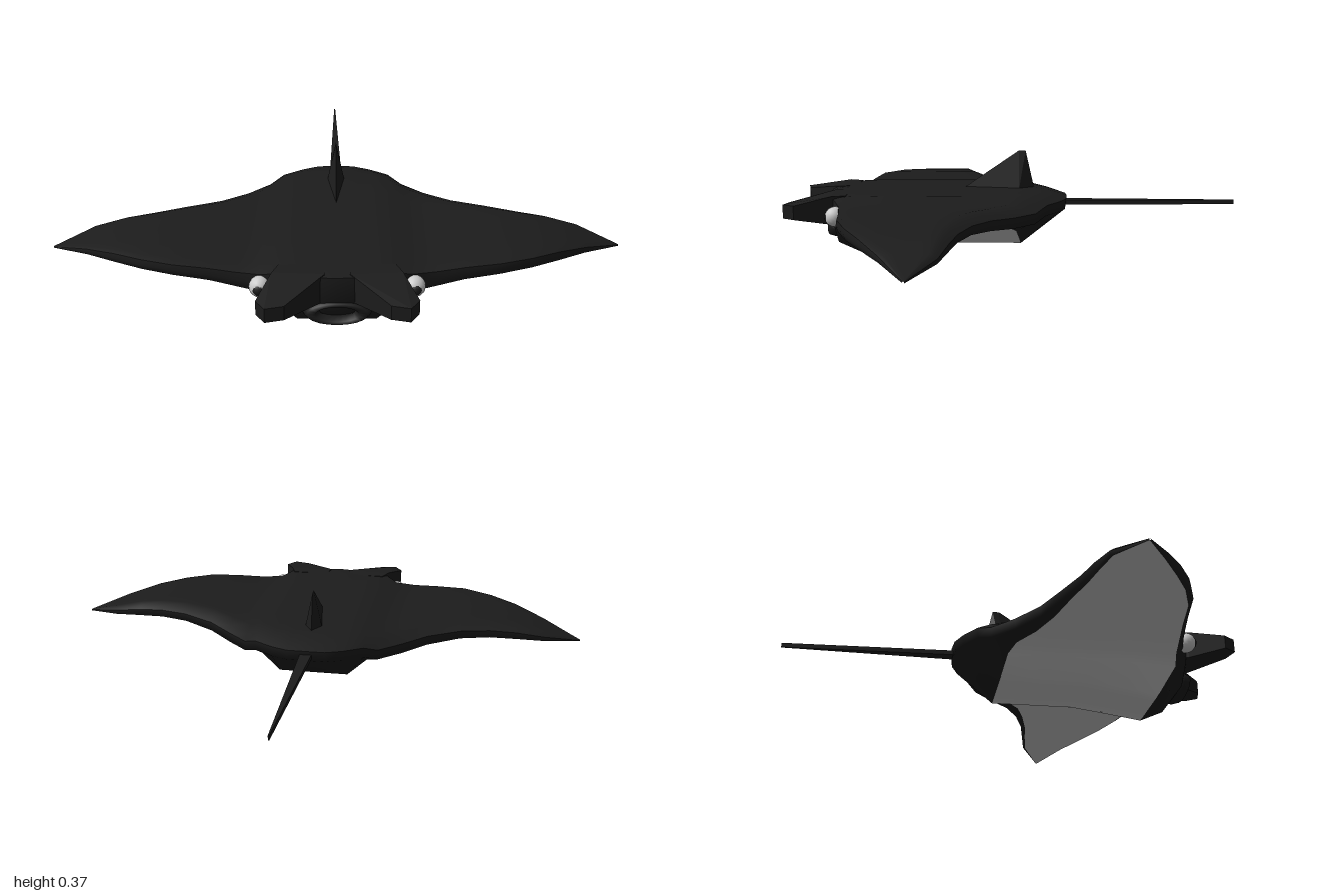
import * as THREE from 'three';
import { ConvexGeometry } from 'three/addons/geometries/ConvexGeometry.js';

const dark = new THREE.MeshStandardMaterial({ color: 0x1c1c1c });
const pale = new THREE.MeshStandardMaterial({ color: 0xcccccc });
const lerp = THREE.MathUtils.lerp;

// Half-span stations: x, front z, back z, top y, wing underside y, rear inset, belly weight
const STATIONS = [
  [0, 0.68, -0.2, 0.238, 0.14, 0.17, 1],
  [0.07, 0.675, -0.195, 0.236, 0.14, 0.165, 1],
  [0.13, 0.66, -0.17, 0.235, 0.14, 0.14, 1],
  [0.2, 0.645, -0.125, 0.234, 0.14, 0.12, 0.35],
  [0.25, 0.615, -0.085, 0.213, 0.14, 0.1, 0.12],
  [0.33, 0.598, -0.01, 0.212, 0.14, 0.08, 0.03],
  [0.42, 0.583, 0.065, 0.217, 0.152, 0.05, 0],
  [0.54, 0.565, 0.122, 0.219, 0.163, 0.03, 0],
  [0.65, 0.52, 0.16, 0.212, 0.16, 0.02, 0],
  [0.75, 0.46, 0.18, 0.2, 0.152, 0.015, 0],
  [0.86, 0.385, 0.203, 0.172, 0.142, 0.01, 0],
  [1, 0.29, 0.286, 0.124, 0.118, 0, 0],
];
const SPAN = [
  ...STATIONS.slice(1).reverse().map(([x, ...rest]) => [-x, ...rest]),
  ...STATIONS,
];

// Skin through one row of points per station
function loft(rowOf) {
  const rows = SPAN.map(rowOf);
  const n = rows[0].length;
  const index = [];
  for (let i = 0; i < rows.length - 1; i++) {
    for (let j = 0; j < n - 1; j++) {
      const a = i * n + j, b = a + n;
      index.push(a, a + 1, b, b, a + 1, b + 1);
    }
  }
  const g = new THREE.BufferGeometry();
  g.setAttribute('position', new THREE.Float32BufferAttribute(rows.flat(2), 3));
  g.setIndex(index);
  g.computeVertexNormals();
  return g;
}

// Back: from the trailing edge forward to the leading edge
const BACK = [[0, 0.032], [0.06, 0.015], [0.14, 0], [0.28, 0], [0.5, 0], [0.75, 0], [0.92, 0.003], [1, 0.01]];
const backRow = ([x, zF, zB, top, bot]) => {
  const s = Math.min(1, (top - bot) / 0.07);
  return BACK.map(([t, drop]) => [x, top - drop * s, lerp(zB, zF, t)]);
};

// Leading edge and chin: down from the back to the belly
const frontRow = ([x, zF, , top, bot, , w]) => {
  const s = Math.min(1, (top - bot) / 0.07);
  return [
    [x, top - 0.01 * s, zF],
    [x, lerp((top + bot) / 2, 0.14, w), zF + 0.003],
    [x, lerp(bot + 0.01 * s, 0.05, w), lerp(zF - 0.005 * s, 0.64, w)],
    [x, lerp(bot, 0.01, w), lerp(zF - 0.02 * s, 0.55, w)],
  ];
};

// Belly and wing undersides, front to rear: [fraction, middle z, middle y]
const BELLY = [[0, 0.55, 0.01], [0.22, 0.42, 0.03], [0.46, 0.28, 0.05], [0.74, 0.12, 0.05], [1, -0.03, 0.05]];
const bellyRow = ([x, zF, zB, top, bot, inset, w]) => {
  const s = Math.min(1, (top - bot) / 0.07);
  return BELLY.map(([t, z, y]) => [x, lerp(bot, y, w), lerp(lerp(zF - 0.02 * s, zB + inset, t), z, w)]);
};

// Rear: from the belly up to the trailing edge
const rearRow = (st) => {
  const [x, , zB, top, bot] = st;
  const s = Math.min(1, (top - bot) / 0.07);
  return [bellyRow(st).at(-1), [x, top - 0.07 * s, zB + 0.004 * s], [x, top - 0.032 * s, zB]];
};

// Horn-like head fin: flat plate that thickens toward the head
function headFinGeometry() {
  const outline = [[0.04, 0.66], [0.1, 0.73], [0.165, 0.805], [0.225, 0.82], [0.255, 0.775], [0.21, 0.65], [0.19, 0.6], [0.05, 0.6]];
  const points = [];
  for (const [x, z] of outline) {
    const k = THREE.MathUtils.clamp((0.74 - z) / 0.08, 0, 1);
    points.push(new THREE.Vector3(x, 0.205 + 0.027 * k, z), new THREE.Vector3(x, 0.155 - 0.025 * k, z));
  }
  return new ConvexGeometry(points);
}

export function createModel() {
  const model = new THREE.Group();
  const add = (name, geometry, material, parent = model) => {
    const mesh = new THREE.Mesh(geometry, material);
    mesh.name = name;
    parent.add(mesh);
    return mesh;
  };

  add('back', loft(backRow), dark);
  add('leadingEdge', loft(frontRow), dark);
  add('belly', loft(bellyRow), pale);
  add('rear', loft(rearRow), dark);

  // Lips around the wide mouth
  const lips = add('lips', new THREE.TorusGeometry(0.085, 0.028, 6, 20), dark);
  lips.scale.set(1, 0.4, 1);
  lips.position.set(0, 0.095, 0.662);

  // Dorsal fin
  const fin = [[0, 0.238, 0.18], [0.033, 0.225, -0.02], [-0.033, 0.225, -0.02], [0, 0.22, -0.08], [0, 0.375, -0.02], [0, 0.375, -0.045]];
  add('dorsalFin', new ConvexGeometry(fin.map((p) => new THREE.Vector3(...p))), dark);

  // Whip tail, narrowing toward its end
  const tail = new THREE.BoxGeometry(0.044, 0.017, 0.645);
  const p = tail.attributes.position;
  for (let i = 0; i < p.count; i++) if (p.getZ(i) < 0) p.setX(i, p.getX(i) * 0.1);
  tail.computeVertexNormals();
  add('tail', tail, dark).position.set(0, 0.183, -0.5025);

  // Eyes and head fins on both sides
  for (const side of [1, -1]) {
    const name = side > 0 ? 'left' : 'right';
    add(name + 'Eye', new THREE.SphereGeometry(0.036, 16, 12), pale).position.set(side * 0.25, 0.167, 0.628);
    add(name + 'Pupil', new THREE.SphereGeometry(0.024, 12, 8), dark).position.set(side * 0.252, 0.167, 0.643);
    const headFin = headFinGeometry();
    if (side < 0) headFin.rotateZ(Math.PI).translate(0, 0.36, 0);
    const q = headFin.attributes.position;
    if (side < 0) {
      // restore the upright slope after turning the plate over
      for (let i = 0; i < q.count; i++) {
        const k = THREE.MathUtils.clamp((0.74 - q.getZ(i)) / 0.08, 0, 1);
        q.setY(i, q.getY(i) > 0.18 ? 0.205 + 0.027 * k : 0.155 - 0.025 * k);
      }
      headFin.computeVertexNormals();
    }
    add(name + 'HeadFin', headFin, dark);
  }
  return model;
}
